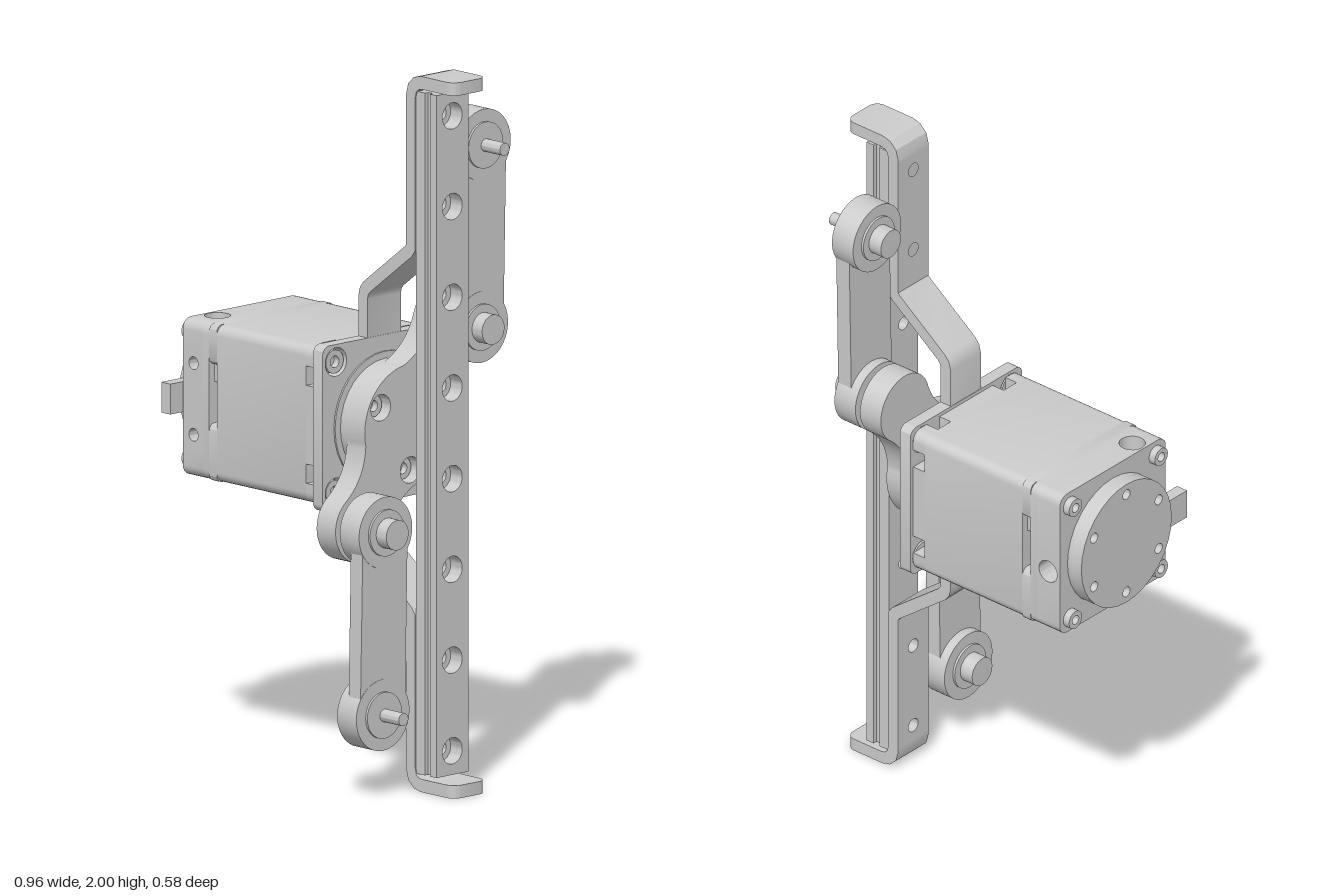
import * as THREE from 'three';
import { toCreasedNormals } from 'three/addons/utils/BufferGeometryUtils.js';

const MID = 1.004, H = 0.22; // motor axis height and half width
const V = (x, y) => new THREE.Vector2(x, y);

export function createModel() {
  const model = new THREE.Group();
  const mat = new THREE.MeshStandardMaterial({ color: 0xcccccc });

  function add(name, geo, parent = model) {
    const mesh = new THREE.Mesh(toCreasedNormals(geo, 0.5), mat);
    mesh.name = name;
    parent.add(mesh);
    return mesh;
  }
  const group = (name) => {
    const g = new THREE.Group();
    g.name = name;
    model.add(g);
    return g;
  };
  const extrude = (shape, depth) =>
    new THREE.ExtrudeGeometry(shape, { depth, bevelEnabled: false, curveSegments: 16 });
  // Shapes for plates lie in (-z, y) and are extruded along x
  const plate = (name, shape, x0, x1, parent) =>
    add(name, extrude(shape, x1 - x0).rotateY(Math.PI / 2).translate(x0, 0, 0), parent);
  const rod = (name, r, x0, x1, y, z, parent) =>
    add(name, new THREE.CylinderGeometry(r, r, x1 - x0, 32).rotateZ(-Math.PI / 2)
      .translate((x0 + x1) / 2, y, z), parent);
  // Cap screw with a hexagonal-style socket, head facing dir along x
  function screw(name, r, x, len, y, z, parent, dir = 1) {
    const p = [V(0, 0), V(r, 0), V(r, len), V(r * 0.5, len), V(r * 0.5, len - 0.02), V(0, len - 0.02)];
    add(name, new THREE.LatheGeometry(p, 24).rotateZ(-dir * Math.PI / 2).translate(x, y, z), parent);
  }
  const disc = (s, y, r) => new THREE.Shape().absarc(s, y, r, 0, Math.PI * 2);
  function hole(shape, s, y, r) {
    shape.holes.push(new THREE.Path().absarc(s, y, r, 0, Math.PI * 2, true));
  }
  function roundRect(s0, s1, y0, y1, r) {
    const q = Math.PI / 2, sh = new THREE.Shape();
    sh.absarc(s1 - r, y1 - r, r, 0, q);
    sh.absarc(s0 + r, y1 - r, r, q, 2 * q);
    sh.absarc(s0 + r, y0 + r, r, 2 * q, 3 * q);
    sh.absarc(s1 - r, y0 + r, r, 3 * q, 4 * q);
    return sh;
  }
  // Motor cross-section; notches are [side, position, half width, depth]
  function section(notches = []) {
    const pts = [], c = 0.03;
    for (let k = 0; k < 4; k++) {
      const side = [V(-H + c, H)];
      notches.filter((n) => n[0] === k).sort((a, b) => a[1] - b[1]).forEach(([, t, w, d]) =>
        side.push(V(t - w, H), V(t - w, H - d), V(t + w, H - d), V(t + w, H)));
      for (let i = 0; i < 5; i++) {
        const a = Math.PI / 2 * (1 - i / 5);
        side.push(V(H - c + c * Math.cos(a), H - c + c * Math.sin(a)));
      }
      side.forEach((p) => pts.push(p.rotateAround(V(0, 0), -k * Math.PI / 2).add(V(0, MID))));
    }
    return new THREE.Shape(pts);
  }
  // Strip of constant thickness following a path in x, y
  function strip(name, path, thick, parent) {
    const edge = (sgn) => path.map((p, i) => {
      const a = path[Math.max(i - 1, 0)], b = path[Math.min(i + 1, path.length - 1)];
      const d1 = (i ? p.clone().sub(a) : b.clone().sub(p)).normalize();
      const d2 = (i < path.length - 1 ? b.clone().sub(p) : d1.clone()).normalize();
      const n = V(-d1.y - d2.y, d1.x + d2.x).normalize();
      const miter = thick / 2 / (-n.x * d1.y + n.y * d1.x);
      return p.clone().addScaledVector(n, sgn * miter);
    });
    const shape = new THREE.Shape([...edge(1), ...edge(-1).reverse()]);
    add(name, extrude(shape, 0.126).translate(0, 0, -0.063), parent);
  }

  // Motor body, with a window through it and screw pockets by the flange
  const motor = group('motor');
  plate('bodyRearRim', section(), -0.345, -0.325, motor);
  plate('bodyBelowWindow', roundRect(-H, H, MID - H, 0.945, 0.02), -0.325, -0.295, motor);
  plate('bodyAboveWindow', roundRect(-H, H, 1.11, MID + H, 0.02), -0.325, -0.295, motor);
  add('windowConnector', new THREE.BoxGeometry(0.03, 0.06, 0.4).translate(-0.31, 1.09, 0), motor);
  plate('body', section(), -0.295, 0.06, motor);
  const pockets = [];
  for (let k = 0; k < 4; k++) for (const t of [-0.137, 0.137]) pockets.push([k, t, 0.027, 0.05]);
  plate('bodyFront', section(pockets), 0.06, 0.10, motor);

  // End cap with bored cable and screw holes
  const bores = [[0, -0.13, 0.036], [1, 0.03, 0.033], [2, 0.13, 0.036], [3, -0.1, 0.018], [3, 0.1, 0.018]];
  const w = 0.0375, depth = 0.08;
  plate('capRear', section(), -0.43, -0.425, motor);
  plate('capMiddle', section(bores.map(([k, t]) => [k, t, w, depth])), -0.425, -0.35, motor);
  plate('capFront', section(), -0.35, -0.345, motor);
  for (const [k, t, r] of bores) {
    const sq = new THREE.Shape([V(-w, -w), V(w, -w), V(w, w), V(-w, w)]);
    hole(sq, 0, 0, r);
    add('capBore', extrude(sq, depth).rotateX(-Math.PI / 2).translate(-0.3875, H - depth, -t)
      .rotateX(-k * Math.PI / 2).translate(0, MID, 0), motor);
  }
  const cover = disc(0, 1, 0.188);
  for (let i = 0; i < 6; i++) {
    const a = (i + 0.5) * Math.PI / 3;
    hole(cover, 0.155 * Math.cos(a), 1 + 0.155 * Math.sin(a), 0.015);
  }
  plate('rearCover', cover, -0.48, -0.45, motor);
  rod('rearCoverBase', 0.188, -0.45, -0.43, 1, 0, motor);
  add('plug', new THREE.BoxGeometry(0.036, 0.085, 0.1).translate(-0.452, 1.002, 0.213), motor);

  // Mounting flange and corner screws
  const flange = roundRect(-0.232, 0.232, 0.77, 1.235, 0.025);
  for (const s of [-0.182, 0.182]) for (const y of [-0.182, 0.182]) {
    hole(flange, s, MID + y, 0.04);
    screw('flangeScrew', 0.033, 0.10, 0.033, MID + y, s, motor);
    screw('capScrew', 0.027, -0.43, 0.006 + 0.015, MID + y * 0.98, s * 0.98, motor, -1);
  }
  plate('flange', flange, 0.10, 0.138, motor);
  rod('pilotRing', 0.19, 0.138, 0.143, 1, 0, motor);
  rod('outputHub', 0.17, 0.14, 0.166, 1, 0, motor);

  // Two-armed crank
  const crank = group('crank');
  const L = 0.316, a = 1.9, b = 0.75, tilt = 0.965;
  const cs = new THREE.Shape();
  for (const dir of [0, Math.PI]) {
    const f = dir ? -1 : 1;
    cs.absarc(f * L, 0, 0.1, dir - a, dir + a);
    cs.quadraticCurveTo(f * 0.2, f * 0.07, f * 0.17 * Math.cos(b), f * 0.17 * Math.sin(b));
    cs.absarc(0, 0, 0.17, dir + b, dir + Math.PI - b);
    cs.quadraticCurveTo(-f * 0.2, f * 0.07, -f * (L + 0.1 * Math.cos(a)), f * 0.1 * Math.sin(a));
  }
  const crankShape = new THREE.Shape(cs.getPoints(16).map((p) => p.rotateAround(V(0, 0), tilt).add(V(0, 1))));
  for (const deg of [30, 150, 270]) {
    const t = deg * Math.PI / 180, s = 0.127 * Math.cos(t), y = 1 + 0.127 * Math.sin(t);
    hole(crankShape, s, y, 0.037);
    screw('crankScrew', 0.031, 0.166, 0.045, y, -s, crank);
  }
  plate('crankPlate', crankShape, 0.165, 0.24, crank);

  // Links with their pivots, repeated half a turn about the motor axis
  for (const side of ['upper', 'lower']) {
    const link = group(side + 'Link');
    const y0 = 1.26, z0 = -0.18, y1 = 1.768, z1 = -0.19, hw = 0.084;
    plate('linkBar', new THREE.Shape([V(-z0 - hw, y0), V(-z0 + hw, y0), V(-z1 + hw, y1), V(-z1 - hw, y1)]),
      0.285, 0.332, link);
    for (const [y, z] of [[y0, z0], [y1, z1]]) {
      rod('linkEye', 0.1, 0.257, 0.333, y, z, link);
      rod('washer', 0.065, 0.25, 0.34, y, z, link);
    }
    rod('crankPin', 0.042, 0.235, 0.38, y0, z0, link);
    rod('endPinHead', 0.042, 0.207, 0.26, y1, z1, link);
    rod('endPin', 0.018, 0.33, 0.415, y1, z1, link);
    if (side === 'lower') {
      link.rotation.x = Math.PI;
      link.position.y = 2;
    }
  }

  // Drilled rail: wide flanges with a narrower web between
  const rail = group('rail');
  for (const [name, half, r, x0, x1] of [['railBack', 0.06, 0.02, 0.326, 0.362],
    ['railWeb', 0.048, 0.037, 0.362, 0.382], ['railFront', 0.06, 0.037, 0.382, 0.408]]) {
    const sh = new THREE.Shape([V(-half, 0.048), V(half, 0.048), V(half, 1.955), V(-half, 1.955)]);
    for (let i = 0; i < 8; i++) hole(sh, 0, 0.115 + i * 0.2535, r);
    plate(name, sh, x0, x1, rail);
  }

  // Bent bracket: hooked ends, drilled straps and a bridge to the flange
  const bracket = group('bracket');
  const T = 0.036;
  for (const flip of [false, true]) {
    const Y = (y) => (flip ? 2 - y : y);
    strip('hook', [[0.44, 0.018], [0.35, 0.018], [0.33, 0.023], [0.315, 0.037], [0.309, 0.06], [0.309, 0.07]]
      .map(([x, y]) => V(x, Y(y))), T, bracket);
    const tip = roundRect(0.40, 0.48, -0.063, 0.063, 0.03);
    add('hookTip', extrude(tip, T).rotateX(-Math.PI / 2).translate(0, flip ? 2 - T : 0, 0), bracket);
    const ys = [Y(0.07), Y(0.475)];
    const sh = new THREE.Shape([V(-0.063, ys[0]), V(0.063, ys[0]), V(0.063, ys[1]), V(-0.063, ys[1])]);
    for (const y of [0.115, 0.3685]) hole(sh, 0, Y(y), 0.02);
    plate('strap', sh, 0.291, 0.327, bracket);
  }
  const half = [[0.309, 0.47], [0.309, 0.485], [0.30, 0.497], [0.135, 0.622], [0.124, 0.635], [0.119, 0.655]];
  strip('bridge', [...half, ...half.map(([x, y]) => [x, 2 - y]).reverse()].map(([x, y]) => V(x, y)), T, bracket);

  return model;
}
